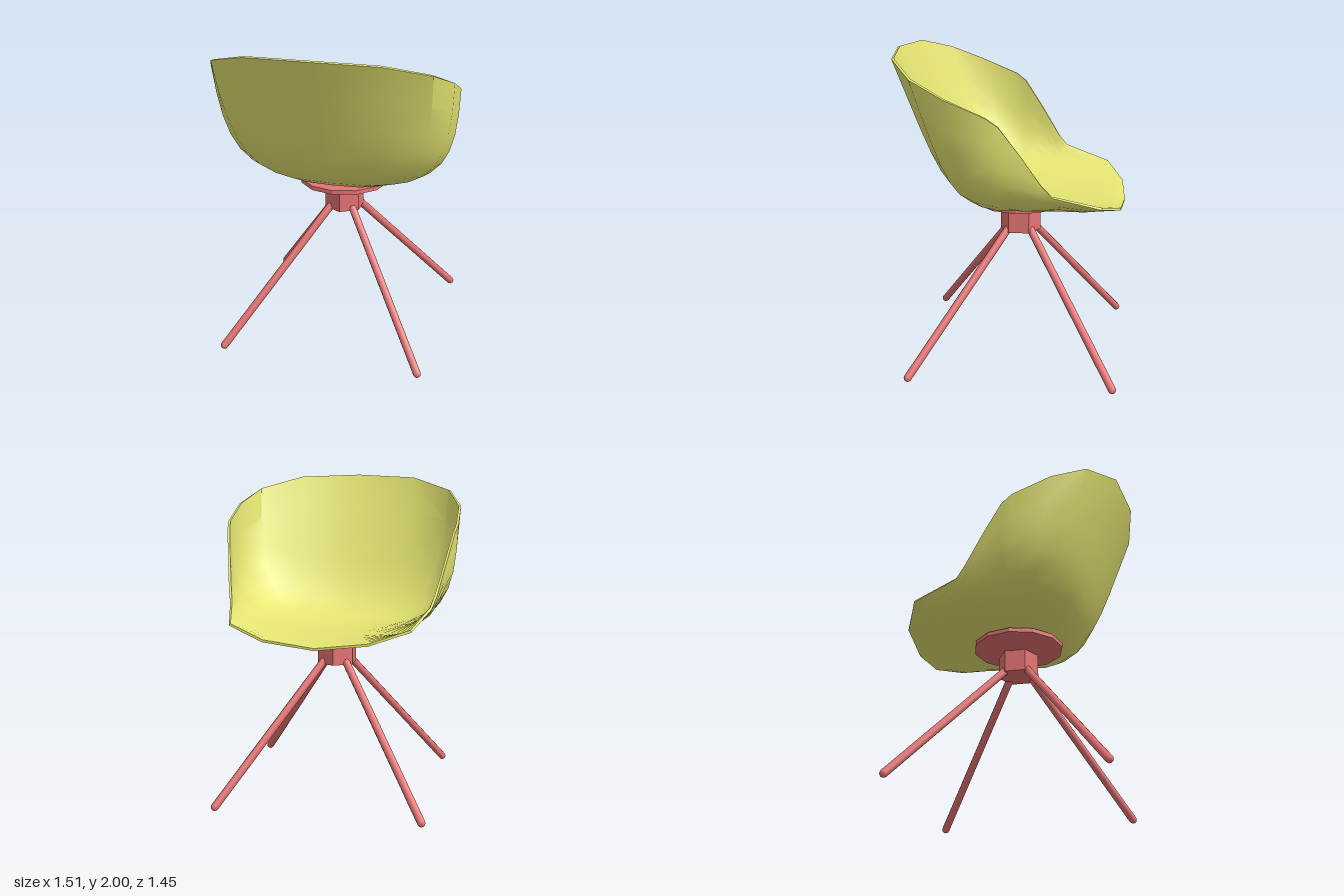
import * as THREE from 'three';
import { toCreasedNormals } from 'three/addons/utils/BufferGeometryUtils.js';

const shellMat = new THREE.MeshStandardMaterial({ color: 0xe6e673 });
const baseMat = new THREE.MeshStandardMaterial({ color: 0xe67373 });
const BASE_Z = -0.055;
const V = (x, y, z) => new THREE.Vector3(x, y, z);

// Ribs of the half shell, backrest centre to seat lip:
// rim x,y,z | wall control x,y,z | floor control x,z
const RIBS = [
  [0, 2.0, 0.725, 0, 1.25, 0.4, 0, 0.41],
  [0.4, 1.985, 0.67, 0.38, 1.25, 0.385, 0.31, 0.385],
  [0.66, 1.91, 0.51, 0.635, 1.25, 0.3, 0.48, 0.29],
  [0.75, 1.82, 0.3, 0.725, 1.22, 0.18, 0.61, 0.17],
  [0.755, 1.72, 0.06, 0.74, 1.2, 0.05, 0.66, 0.05],
  [0.74, 1.67, -0.01, 0.73, 1.2, -0.02, 0.65, 0],
  [0.7, 1.49, -0.135, 0.7, 1.19, -0.1, 0.61, -0.06],
  [0.66, 1.31, -0.25, 0.66, 1.17, -0.2, 0.55, -0.13],
  [0.635, 1.235, -0.31, 0.6, 1.15, -0.28, 0.48, -0.2],
  [0.55, 1.146, -0.6, 0.46, 1.09, -0.5, 0.32, -0.3],
  [0.315, 1.075, -0.706, 0.26, 1.075, -0.6, 0.16, -0.35],
  [0, 1.04, -0.725, 0, 1.07, -0.6, 0, -0.35],
];

function shellGeometry() {
  const ROWS = 9, FLOOR = 1.04, THICK = 0.015;
  const mirrored = RIBS.slice(1, -1).reverse()
    .map(([a, b, c, d, e, f, g, h]) => [-a, b, c, -d, e, f, -g, h]);
  const ribs = [...RIBS, ...mirrored], n = ribs.length;

  // Outer skin: curved ribs fanning out from the middle of the seat
  const pos = [0, FLOOR, 0];
  for (const [rx, ry, rz, wx, wy, wz, fx, fz] of ribs) {
    const rib = new THREE.CubicBezierCurve3(
      V(0, FLOOR, 0), V(fx, FLOOR, fz), V(wx, wy, wz), V(rx, ry, rz));
    for (let r = 1; r <= ROWS; r++) pos.push(...rib.getPoint(r / ROWS).toArray());
  }
  const id = (c, r) => (r === 0 ? 0 : 1 + (c % n) * ROWS + r - 1);
  const outer = [];
  for (let c = 0; c < n; c++) {
    outer.push(0, id(c + 1, 1), id(c, 1));
    for (let r = 1; r < ROWS; r++) {
      const a = id(c, r), b = id(c + 1, r), d = id(c, r + 1), e = id(c + 1, r + 1);
      outer.push(a, b, e, a, e, d);
    }
  }
  const skin = new THREE.BufferGeometry();
  skin.setAttribute('position', new THREE.Float32BufferAttribute(pos, 3));
  skin.setIndex(outer);
  skin.computeVertexNormals();

  // Inner skin: the outer one shifted inwards and turned over
  const normals = skin.attributes.normal.array, count = pos.length / 3;
  const all = [...pos, ...pos.map((p, i) => p - normals[i] * THICK)];
  const index = [...outer];
  for (let i = 0; i < outer.length; i += 3) {
    index.push(outer[i] + count, outer[i + 2] + count, outer[i + 1] + count);
  }
  // Rim strip joining both skins
  for (let c = 0; c < n; c++) {
    const a = id(c, ROWS), b = id(c + 1, ROWS);
    index.push(a, b, b + count, a, b + count, a + count);
  }
  const shell = new THREE.BufferGeometry();
  shell.setAttribute('position', new THREE.Float32BufferAttribute(all, 3));
  shell.setIndex(index);
  return toCreasedNormals(shell, 0.6);
}

export function createModel() {
  const group = new THREE.Group();
  const add = (name, geometry, material) => {
    const mesh = new THREE.Mesh(geometry, material);
    mesh.name = name;
    group.add(mesh);
    return mesh;
  };

  add('seatShell', shellGeometry(), shellMat);

  // Mounting plate: short band over a flat cone
  const plate = new THREE.LatheGeometry([
    new THREE.Vector2(0, 0.97), new THREE.Vector2(0.12, 0.97),
    new THREE.Vector2(0.29, 1.018), new THREE.Vector2(0.29, 1.045),
    new THREE.Vector2(0, 1.045)], 12);
  add('mountingPlate', toCreasedNormals(plate, 0.2), baseMat).position.z = BASE_Z;

  // Six-sided hub
  const hub = toCreasedNormals(new THREE.CylinderGeometry(0.13, 0.13, 0.15, 6), 0.2);
  add('hub', hub, baseMat).position.set(0, 0.905, BASE_Z);

  // Four splayed legs with rounded ends
  for (const sx of [1, -1]) for (const sz of [1, -1]) {
    const top = V(sx * 0.06, 0.865, BASE_Z + sz * 0.06);
    const foot = V(sx * 0.637, 0.025, BASE_Z + sz * 0.637);
    const dir = top.clone().sub(foot);
    const leg = add(`${sz > 0 ? 'back' : 'front'}Leg`,
      new THREE.CapsuleGeometry(0.025, dir.length(), 3, 8), baseMat);
    leg.position.copy(top).add(foot).multiplyScalar(0.5);
    leg.quaternion.setFromUnitVectors(V(0, 1, 0), dir.normalize());
  }
  return group;
}
